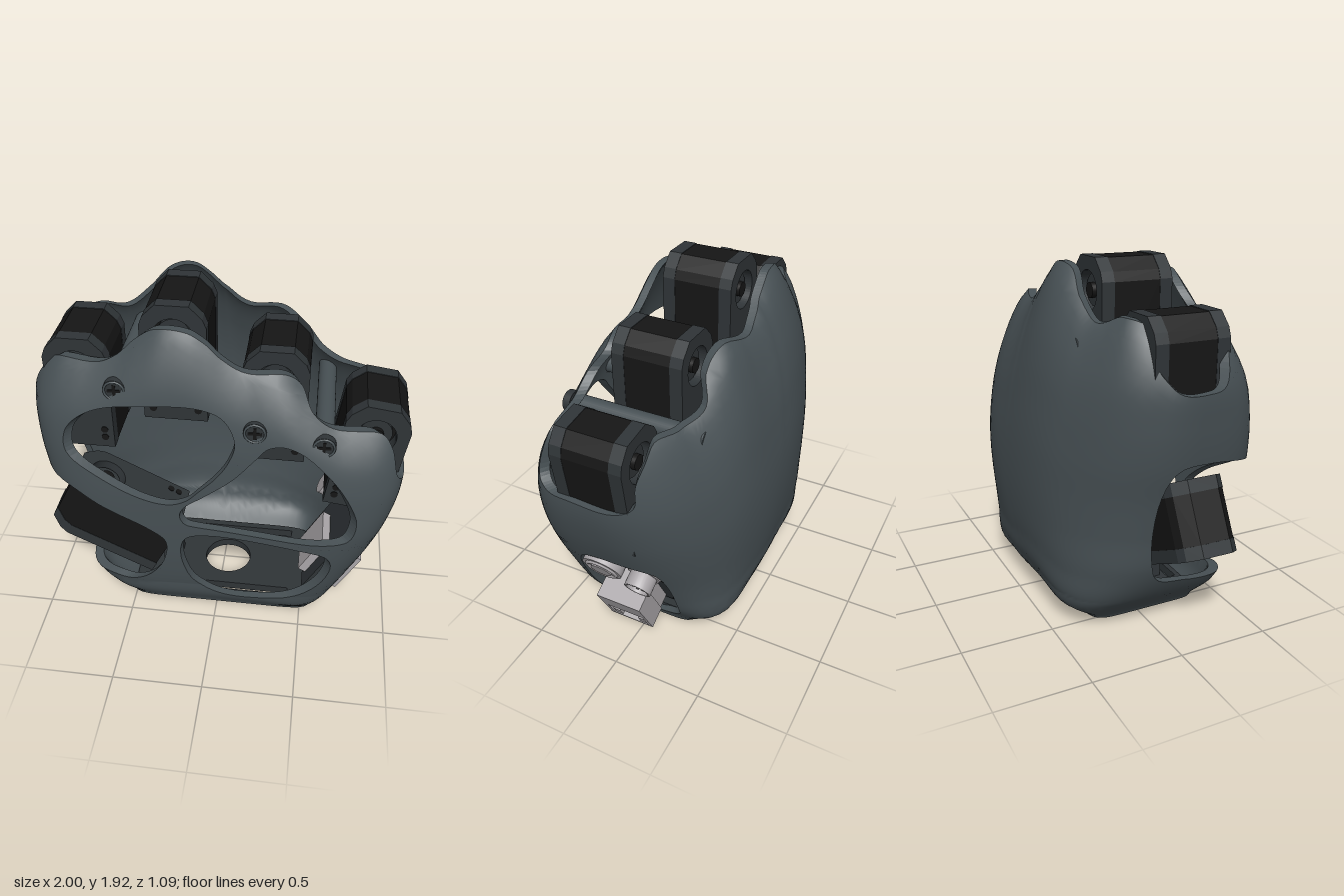
import * as THREE from 'three';

const mat = (color, side = THREE.FrontSide) => new THREE.MeshStandardMaterial({ color, side });
const shellMat = mat(0x475054, THREE.DoubleSide), black = mat(0x151515), dark = mat(0x2f3437), metal = mat(0xaaa6a9);
const PI = Math.PI, WALL = 0.045, MID = 0.08;

// Palm extents at heights 0, 0.2 ... 2.0
const table = (v) => {
  const c = new THREE.SplineCurve(v.map((a, i) => new THREE.Vector2(i * 0.2, a)));
  return (y) => c.getPoint(Math.min(Math.max(y / 2, 0), 1)).y;
};
const leftX = table([-0.53, -0.72, -0.83, -0.87, -0.91, -0.96, -0.99, -1.0, -0.95, -0.85, -0.75]);
const rightX = table([0.57, 0.69, 0.79, 0.88, 0.95, 0.99, 0.985, 0.95, 0.88, 0.78, 0.68]);
const frontZ = table([0.38, 0.46, 0.505, 0.53, 0.545, 0.55, 0.54, 0.52, 0.475, 0.385, 0.25]);
const backZ = table([-0.28, -0.465, -0.51, -0.535, -0.545, -0.54, -0.52, -0.49, -0.44, -0.36, -0.22]);
const centre = (y) => (leftX(y) + rightX(y)) / 2;
const half = (y) => (rightX(y) - leftX(y)) / 2;
// Roundness of the cross-section: boxy at the base, softer above
const nFront = (y) => 4.5 + 5 * Math.exp(-y / 0.15);
const nBack = (y) => 2.3 + 6 * Math.exp(-y / 0.15);
const other = (a, n) => Math.pow(1 - Math.pow(Math.min(Math.abs(a), 0.999), n), 1 / n);

// Points on the unrolled wall (angle, height) from front (x, y), back (x, y) or side (z, y)
const F = (x, y) => {
  const u = (x - centre(y)) / half(y);
  return new THREE.Vector3(Math.atan2(other(u, nFront(y)), u), y, 0);
};
const B = (x, y) => {
  const u = (x - centre(y)) / half(y), a = Math.atan2(-other(u, nBack(y)), u);
  return new THREE.Vector3(u < 0 ? a + 2 * PI : a, y, 0);
};
const S = (sign, z, y) => {
  const f = z >= MID, v = (z - MID) / (f ? frontZ(y) - MID : MID - backZ(y));
  const a = Math.atan2(v, sign * other(v, f ? nFront(y) : nBack(y)));
  return new THREE.Vector3(sign < 0 && a < 0 ? a + 2 * PI : a, y, 0);
};
const smooth = (pts, closed, n) => new THREE.CatmullRomCurve3(pts, closed, 'centripetal')
  .getPoints(n).map((p) => new THREE.Vector2(p.x, p.y));
const pairs = (fn, list) => list.map(([a, b]) => fn(a, b));

// Scalloped rim, from the middle of the back around the front
const rim = smooth([
  new THREE.Vector3(-PI / 2, 1.77, 0),
  ...pairs(B, [[0.1, 1.67], [0.3, 1.69], [0.42, 1.6], [0.52, 1.45], [0.65, 1.4], [0.8, 1.39], [0.87, 1.31]]),
  S(1, -0.17, 1.2), S(1, -0.16, 1.1), S(1, -0.08, 1.05), S(1, 0.2, 1.05), S(1, 0.34, 1.06),
  ...pairs(F, [[0.94, 1.12], [0.9, 1.27], [0.84, 1.35], [0.6, 1.38], [0.49, 1.46], [0.42, 1.58], [0.34, 1.63],
    [0.14, 1.64], [0.03, 1.7], [-0.06, 1.78], [-0.15, 1.83], [-0.3, 1.83], [-0.4, 1.77], [-0.5, 1.68],
    [-0.6, 1.63], [-0.84, 1.61], [-0.91, 1.54]]),
  S(-1, 0.3, 1.4), S(-1, 0.1, 1.36), S(-1, -0.1, 1.38),
  ...pairs(B, [[-0.9, 1.5], [-0.84, 1.64], [-0.7, 1.69], [-0.58, 1.65], [-0.45, 1.75], [-0.33, 1.88], [-0.2, 1.9], [-0.12, 1.85]]),
  new THREE.Vector3(3 * PI / 2, 1.77, 0),
], false, 240);
const rimAt = (a) => {
  const t = ((a + PI / 2 + 2 * PI) % (2 * PI)) - PI / 2;
  return rim.find((p) => p.x >= t - 1e-6).y;
};
// Softened rim height, so the wall curls inwards below every scallop
const curl = new THREE.SplineCurve(Array.from({ length: 65 }, (_, i) => {
  const a = -PI / 2 + i * PI / 32;
  return new THREE.Vector2(a, [-0.1, -0.05, 0, 0.05, 0.1].reduce((s, d) => s + Math.max(rimAt(a + d), 1.4) / 5, 0));
}));

// Unrolled wall (angle, height, depth into wall) to space
function wrap(a, y, k = 0) {
  const c = Math.cos(a), s = Math.sin(a), n = s >= 0 ? nFront(y) : nBack(y);
  const r = Math.pow(Math.abs(c) ** n + Math.abs(s) ** n, -1 / n);
  const t = (((a + PI / 2) / (2 * PI)) + 1) % 1;
  const h = y * 1.85 / curl.getPoint(t).y + (y < 0.2 ? 0.035 * Math.sin(PI * y / 0.2) : 0);
  const d = s >= 0 ? frontZ(h) - MID : MID - backZ(h);
  const x = centre(y) + (half(y) - k) * r * c;
  const sway = s > 0 ? s * y * (0.035 * x - 0.06 * Math.max(1.9 - y, 0) * Math.exp(-((x / 0.45) ** 2))) : 0;
  return new THREE.Vector3(x, y, MID + (d - k) * r * s + sway);
}

// Split long edges so the flat sheet can be bent, then wrap it
function wrapSheet(geo, max) {
  const p = geo.attributes.position, nn = geo.attributes.normal, out = [], flags = [], stack = [];
  const at = (i) => new THREE.Vector3().fromBufferAttribute(p, i);
  for (let i = 0; i < p.count; i += 3) stack.push([at(i), at(i + 1), at(i + 2), Math.round(nn.getZ(i))]);
  while (stack.length) {
    const [a, b, c, f] = stack.pop();
    const ab = a.distanceTo(b), bc = b.distanceTo(c), ca = c.distanceTo(a), m = Math.max(ab, bc, ca);
    if (m <= max) { out.push(a, b, c); flags.push(f, f, f); continue; }
    const [q, r, s] = m === ab ? [a, b, c] : m === bc ? [b, c, a] : [c, a, b];
    const h = q.clone().add(r).multiplyScalar(0.5);
    stack.push([q, h, s, f], [h, r, s, f]);
  }
  const g = new THREE.BufferGeometry().setFromPoints(out.map((v) => wrap(v.x, v.y, v.z)));
  g.computeVertexNormals();
  out.forEach((v, i) => {
    if (!flags[i]) return;
    const e = 0.004, o = wrap(v.x, v.y, v.z);
    const n = wrap(v.x, v.y + e, v.z).sub(o).cross(wrap(v.x + e, v.y, v.z).sub(o)).normalize().multiplyScalar(-flags[i]);
    g.attributes.normal.setXYZ(i, n.x, n.y, n.z);
  });
  return g;
}

function add(parent, name, geo, material, x = 0, y = 0, z = 0) {
  const m = new THREE.Mesh(geo, material);
  m.name = name;
  m.position.set(x, y, z);
  parent.add(m);
  return m;
}
const box = (x, y, z) => new THREE.BoxGeometry(x, y, z);
const rodZ = (r, l, n = 28) => new THREE.CylinderGeometry(r, r, l, n).rotateX(PI / 2);
const rodX = (r, l, n = 32) => new THREE.CylinderGeometry(r, r, l, n).rotateZ(PI / 2);
const extrude = (shape, depth) => new THREE.ExtrudeGeometry(shape, { depth, bevelEnabled: false, curveSegments: 24 });
const rect = (x0, y0, x1, y1, K = THREE.Path) => new K([[x0, y0], [x1, y0], [x1, y1], [x0, y1]].map((p) => new THREE.Vector2(...p)));
const circle = (x, y, r) => new THREE.Path().absarc(x, y, r, 0, 2 * PI);

// Palm shell with palm windows, thumb notch and port window
function shell() {
  const sheet = new THREE.Shape([new THREE.Vector2(-PI / 2, 0), new THREE.Vector2(3 * PI / 2, 0), ...rim.slice().reverse()]);
  const windows = [
    pairs(F, [[-0.78, 1.15], [-0.78, 1.27], [-0.68, 1.38], [-0.5, 1.45], [-0.1, 1.48], [0.05, 1.42], [0.11, 1.3], [0.08, 1.18],
      [0.02, 1.08], [-0.07, 0.98], [-0.15, 0.9], [-0.24, 0.87], [-0.37, 0.9], [-0.6, 1.02]]),
    pairs(F, [[-0.185, 0.79], [-0.16, 0.85], [-0.05, 0.94], [0.1, 1.07], [0.22, 1.22], [0.28, 1.29], [0.36, 1.31], [0.45, 1.28],
      [0.6, 1.15], [0.72, 0.98], [0.76, 0.85], [0.73, 0.74], [0.65, 0.71], [0.3, 0.7], [-0.1, 0.71], [-0.16, 0.73]]),
    pairs(F, [[-0.185, 0.55], [-0.16, 0.61], [-0.1, 0.64], [0.5, 0.64], [0.62, 0.6], [0.65, 0.5], [0.6, 0.35], [0.45, 0.2],
      [0.2, 0.13], [0, 0.15], [-0.12, 0.24], [-0.18, 0.4]]),
    [...pairs(F, [[-0.27, 0.58], [-0.36, 0.68], [-0.6, 0.82], [-0.8, 0.93]]), S(-1, 0.15, 1.0), S(-1, -0.05, 0.95),
      S(-1, -0.1, 0.6), S(-1, -0.05, 0.35), S(-1, 0.15, 0.28), ...pairs(F, [[-0.62, 0.24], [-0.5, 0.22], [-0.38, 0.28], [-0.29, 0.42]])],
    pairs((z, y) => S(1, z, y), [[0.28, 0.14], [0.28, 0.5], [0.22, 0.59], [-0.12, 0.59], [-0.18, 0.53], [-0.18, 0.14], [-0.12, 0.07], [0.2, 0.07]]),
  ];
  for (const w of windows) sheet.holes.push(new THREE.Path(smooth(w, true, 80).slice(0, -1)));
  return wrapSheet(extrude(sheet, WALL), 0.07);
}

// Servo: black case between two grey end plates, each with a horn and screws
function motor(name, x, y, z, rot = 0) {
  const g = new THREE.Group();
  g.name = name;
  const profile = (s) => new THREE.Shape([[-0.17, -0.335], [0.17, -0.335], [0.17, 0.22], [0.15, 0.27], [0.085, 0.335],
    [-0.085, 0.335], [-0.15, 0.27], [-0.17, 0.22]].map(([a, b]) => new THREE.Vector2(a * s, b * s)));
  add(g, 'motorCase', extrude(profile(0.99), 0.26), black, 0, 0, -0.13);
  for (const s of [-1, 1]) {
    const plate = profile(1);
    plate.holes.push(circle(0, 0.16, 0.105));
    add(g, 'endPlate', extrude(plate, 0.07), dark, 0, 0, s > 0 ? 0.13 : -0.2);
    add(g, 'horn', rodZ(0.085, 0.04), dark, 0, 0.16, s * 0.145);
    add(g, 'hornHub', rodZ(0.04, 0.03), black, 0, 0.16, s * 0.175);
    for (const sx of [-1, 1]) for (const py of [-0.27, -0.22]) add(g, 'plateScrew', rodZ(0.02, 0.012, 12), black, sx * 0.12, py, s * 0.198);
  }
  g.position.set(x, y, z);
  g.rotation.z = rot;
  return g;
}

// Sloping panel with button, round connector and network socket; local x points outwards
function portPanel() {
  const g = new THREE.Group();
  g.name = 'portPanel';
  add(g, 'panelPlate', box(0.02, 0.62, 0.47), dark, -0.085, 0, 0.005);
  add(g, 'powerButton', rodX(0.115, 0.1), metal, -0.03, 0.19, 0.11);
  add(g, 'buttonRing', new THREE.TorusGeometry(0.085, 0.012, 8, 36).rotateY(PI / 2), metal, 0.02, 0.19, 0.11);
  add(g, 'buttonCap', rodX(0.06, 0.02), metal, 0.022, 0.19, 0.11);
  add(g, 'connectorNut', rodX(0.1, 0.05, 6), metal, -0.05, 0.19, -0.13);
  add(g, 'connectorSleeve', new THREE.LatheGeometry([[0.055, 0], [0.075, 0], [0.075, 0.11], [0.06, 0.11], [0.055, 0]]
    .map((p) => new THREE.Vector2(...p)), 32).rotateZ(-PI / 2), mat(0xaaa6a9, THREE.DoubleSide), -0.05, 0.19, -0.13);
  for (let i = 0; i < 7; i++) add(g, 'pin', rodX(0.009, 0.09, 8), metal, 0, 0.19 + 0.035 * Math.cos(i * 0.9), -0.13 + 0.035 * Math.sin(i * 0.9));
  add(g, 'connectorBody', rodX(0.06, 0.2), metal, -0.17, 0.19, -0.13);
  const face = rect(-0.135, -0.145, 0.135, 0.145, THREE.Shape);
  face.holes.push(rect(-0.11, -0.13, 0.11, 0));
  add(g, 'socketFrame', extrude(face, 0.12).rotateY(PI / 2), metal, 0.005, -0.13, 0.015);
  add(g, 'socketBody', box(0.15, 0.28, 0.26), metal, -0.07, -0.13, 0.015);
  for (const s of [-1, 1]) add(g, 'socketClip', box(0.08, 0.06, 0.045), metal, 0.08, -0.225, 0.015 + s * 0.08);
  add(g, 'socketTongue', box(0.08, 0.02, 0.12), dark, 0.06, -0.16, 0.015);
  for (const y of [-0.24, 0.05]) for (const z of [-0.19, 0.2]) add(g, 'panelScrew', rodX(0.02, 0.02, 12), black, -0.072, y, z);
  g.position.set(0.73, 0.325, 0.05);
  g.rotation.z = -0.48;
  return g;
}

export function createModel() {
  const root = new THREE.Group();
  root.name = 'roboticPalm';
  add(root, 'palmShell', shell(), shellMat);

  // Base plate with central bore and two slots
  const outline = Array.from({ length: 96 }, (_, i) => wrap(i / 96 * 2 * PI, 0, 0.02)).map((p) => new THREE.Vector2(p.x, -p.z));
  const base = new THREE.Shape(outline);
  base.holes.push(circle(0.03, -0.05, 0.14), rect(-0.36, 0.17, 0.42, 0.22), rect(-0.38, -0.33, 0.42, -0.28));
  add(root, 'basePlate', extrude(base, 0.05).rotateX(-PI / 2), dark, 0, 0.012);
  add(root, 'baseRing', new THREE.TorusGeometry(0.185, 0.012, 8, 40).rotateX(PI / 2), black, 0.03, 0.013, 0.05);
  for (const x of [-0.42, 0.46]) for (const z of [-0.14, 0.25]) add(root, 'baseScrew', new THREE.CylinderGeometry(0.03, 0.03, 0.02, 16), black, x, 0.012, z);

  // Four finger motors and the sideways thumb motor
  root.add(motor('indexMotor', -0.745, 1.375, 0.055), motor('middleMotor', -0.23, 1.585, 0.04),
    motor('ringMotor', 0.29, 1.375, 0.055), motor('littleMotor', 0.795, 1.11, 0.09, -0.14));
  const thumb = motor('thumbMotor', -0.6, 0.535, 0.2);
  thumb.setRotationFromMatrix(new THREE.Matrix4().makeBasis(new THREE.Vector3(0, 0, 1),
    new THREE.Vector3(-0.89, 0.456, 0), new THREE.Vector3(-0.456, -0.89, 0)));
  root.add(thumb);
  add(root, 'thumbBracket', box(0.08, 0.3, 0.26), dark, -0.3, 0.21, 0.12);

  // Cross bars with screw heads on the palm
  for (const [x, y, zEnd] of [[-0.5, 1.53], [0.21, 1.37, 0.24], [0.555, 1.31]]) {
    const f = F(x, y), b = B(x, y), z1 = wrap(f.x, y).z, z0 = zEnd ?? wrap(b.x, y).z + 0.03;
    add(root, 'crossBar', rodZ(0.05, z1 - 0.03 - z0), shellMat, x, y, (z1 - 0.03 + z0) / 2);
    add(root, 'screwHead', rodZ(0.06, 0.04), dark, x, y, z1 - 0.012);
    add(root, 'screwRim', new THREE.TorusGeometry(0.052, 0.006, 8, 28), shellMat, x, y, z1 + 0.008);
    for (const s of [0, 1]) add(root, 'screwSlot', box(s ? 0.07 : 0.016, s ? 0.016 : 0.07, 0.01), black, x, y, z1 + 0.006);
  }
  root.add(portPanel());
  return root;
}
